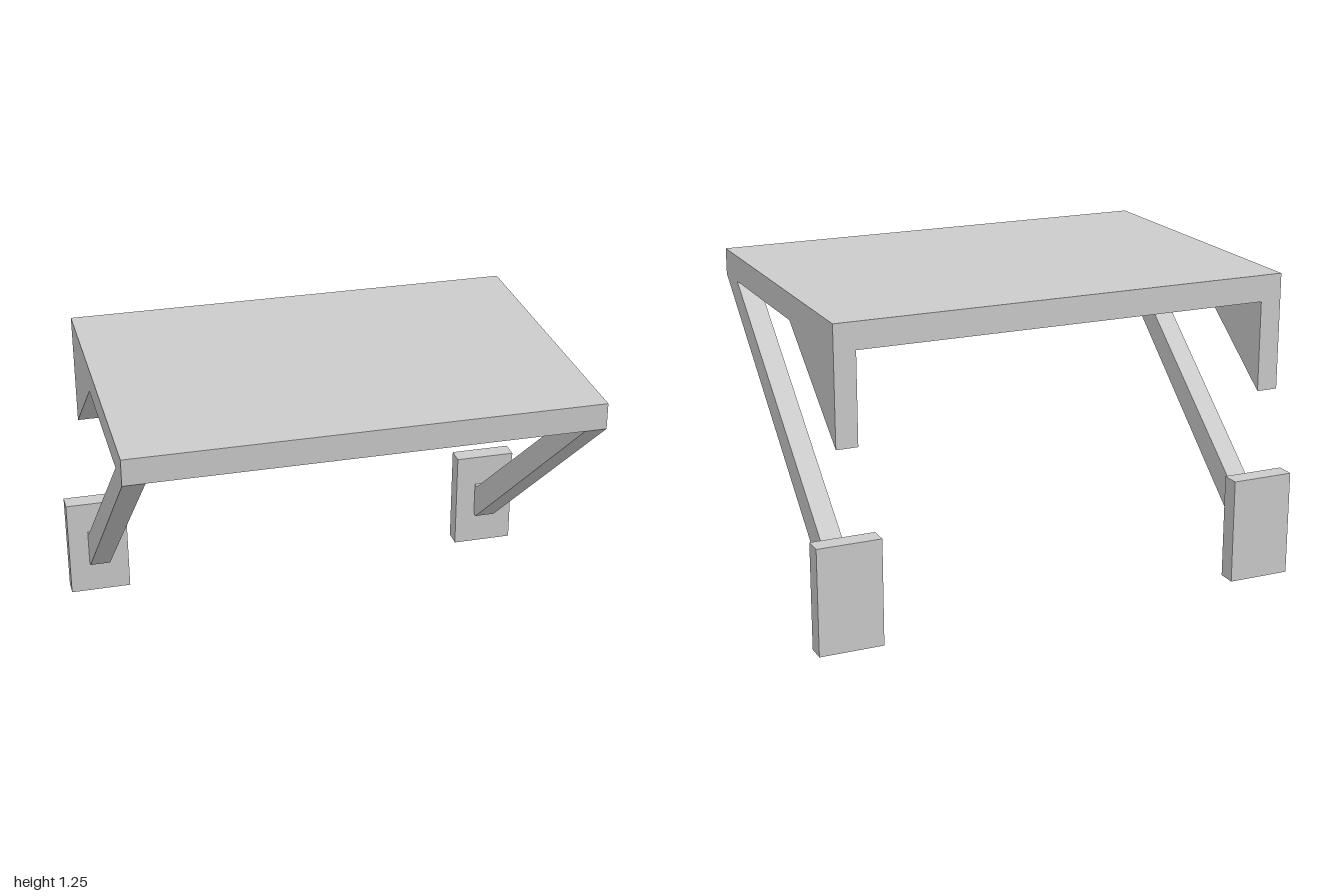
import * as THREE from 'three';

const material = new THREE.MeshStandardMaterial({ color: 0xcccccc, flatShading: true });

// Box given by its minimum and maximum corners
function box(name, min, max) {
  const size = max.map((v, i) => v - min[i]);
  const mesh = new THREE.Mesh(new THREE.BoxGeometry(...size), material);
  mesh.position.set(...max.map((v, i) => (v + min[i]) / 2));
  mesh.name = name;
  return mesh;
}

// Side profile of [z, y] points, extruded along x and centred on the given x
function sideProfile(name, points, x, thickness) {
  const shape = new THREE.Shape(points.map(([z, y]) => new THREE.Vector2(z, y)));
  const geometry = new THREE.ExtrudeGeometry(shape, { depth: thickness, bevelEnabled: false });
  geometry.translate(0, 0, -thickness / 2).rotateY(-Math.PI / 2);
  const mesh = new THREE.Mesh(geometry, material);
  mesh.position.x = x;
  mesh.name = name;
  return mesh;
}

export function createModel() {
  const group = new THREE.Group();
  group.name = 'bracedCanopy';

  const halfWidth = 0.915, back = -0.645, front = 0.645;
  const under = 1.15, top = 1.255, thickness = 0.085;

  // Flat top slab
  group.add(box('slab', [-halfWidth, under, back], [halfWidth, top, front]));

  // Diagonal strut with a short level foot against the wall plate
  const strut = [[front, under], [0.5, under], [-0.545, 0.29], [-0.57, 0.29], [-0.57, 0.14], [-0.545, 0.14]];
  // Tapered gusset under the rear edge
  const gusset = [[-0.16, under], [-0.405, 0.968], [back, 0.79], [back, under]];

  for (const [side, s] of [['left', 1], ['right', -1]]) {
    const x = s * (halfWidth - thickness / 2);
    group.add(sideProfile(side + 'Strut', strut, x, thickness));
    group.add(sideProfile(side + 'Gusset', gusset, x, thickness));

    // Wall plate at the strut's lower end
    const plateX = s * 0.8725;
    group.add(box(side + 'WallPlate', [plateX - 0.1275, 0, back], [plateX + 0.1275, 0.425, -0.57]));
  }
  return group;
}
